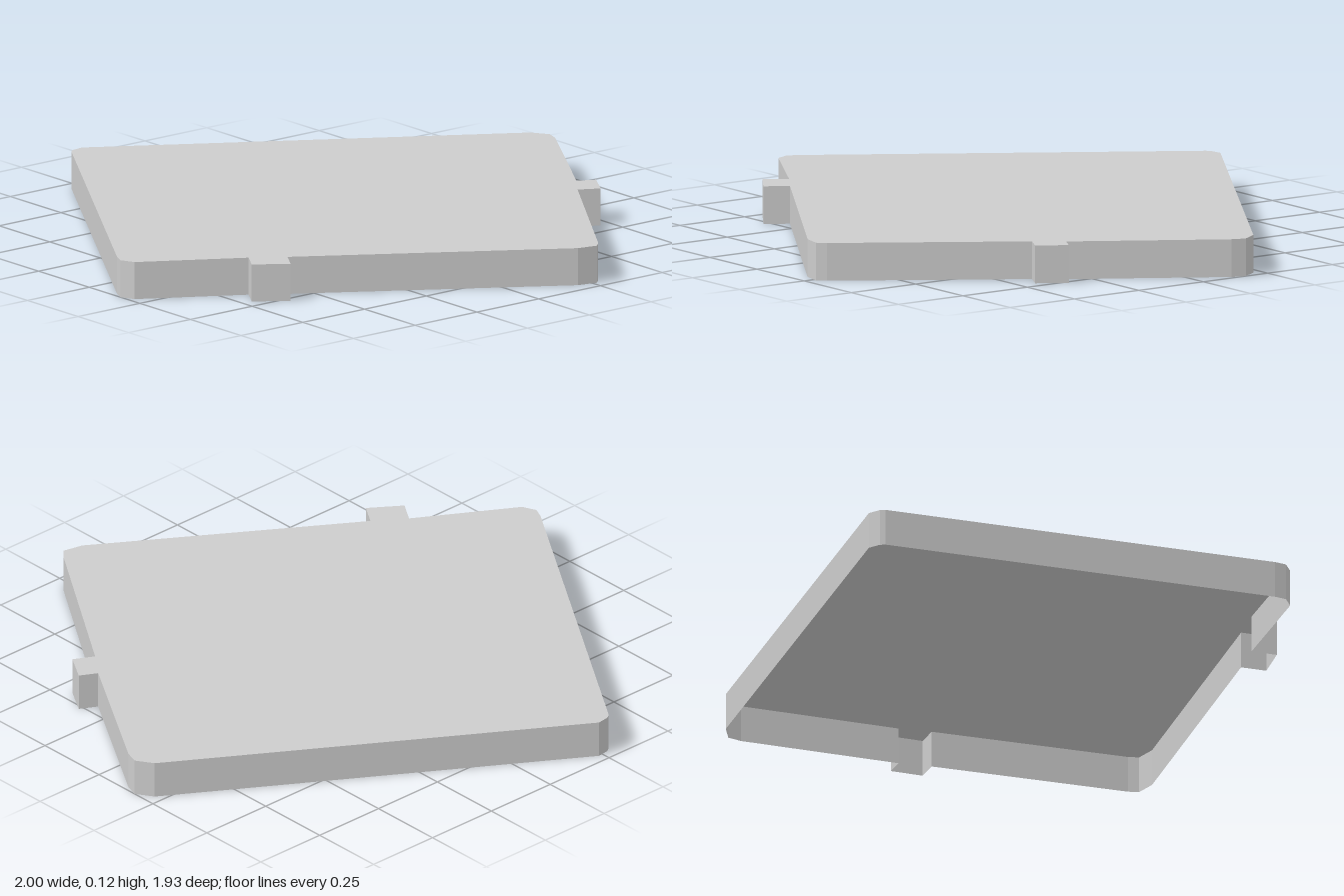
import * as THREE from 'three';

const HEIGHT = 0.12;

// Plan outline as [x, z]: a turned square with clipped corners and two tabs
const OUTLINE = [
  [-0.29, -0.955], [-0.275, -0.965], [-0.235, -0.97],   // back corner
  [0.965, -0.22], [1.0, -0.165], [0.985, -0.12],        // left corner
  [0.71, 0.32], [0.765, 0.35], [0.71, 0.44], [0.645, 0.405], // left tab
  [0.29, 0.94], [0.265, 0.965], [0.2, 0.95],            // front corner
  [-0.57, 0.455], [-0.615, 0.525], [-0.715, 0.455], [-0.67, 0.385], // front tab
  [-0.98, 0.2], [-1.0, 0.155], [-0.985, 0.12],          // right corner
];

export function createModel() {
  const group = new THREE.Group();
  group.name = 'trayLid';
  const grey = new THREE.MeshStandardMaterial({ color: 0xcccccc, side: THREE.DoubleSide });
  grey.name = 'light grey';

  // Flat top sheet
  const shape = new THREE.Shape(OUTLINE.map(([x, z]) => new THREE.Vector2(x, -z)));
  const topGeometry = new THREE.ShapeGeometry(shape).rotateX(-Math.PI / 2);
  const top = new THREE.Mesh(topGeometry, grey);
  top.name = 'topPanel';
  top.position.y = HEIGHT;
  group.add(top);

  // Thin skirt hanging from the outline, open underneath
  const positions = [];
  OUTLINE.forEach(([ax, az], i) => {
    const [bx, bz] = OUTLINE[(i + 1) % OUTLINE.length];
    positions.push(
      ax, 0, az, ax, HEIGHT, az, bx, HEIGHT, bz,
      ax, 0, az, bx, HEIGHT, bz, bx, 0, bz,
    );
  });
  const skirtGeometry = new THREE.BufferGeometry();
  skirtGeometry.setAttribute('position', new THREE.Float32BufferAttribute(positions, 3));
  skirtGeometry.computeVertexNormals();
  const skirt = new THREE.Mesh(skirtGeometry, grey);
  skirt.name = 'sideSkirt';
  group.add(skirt);

  return group;
}
